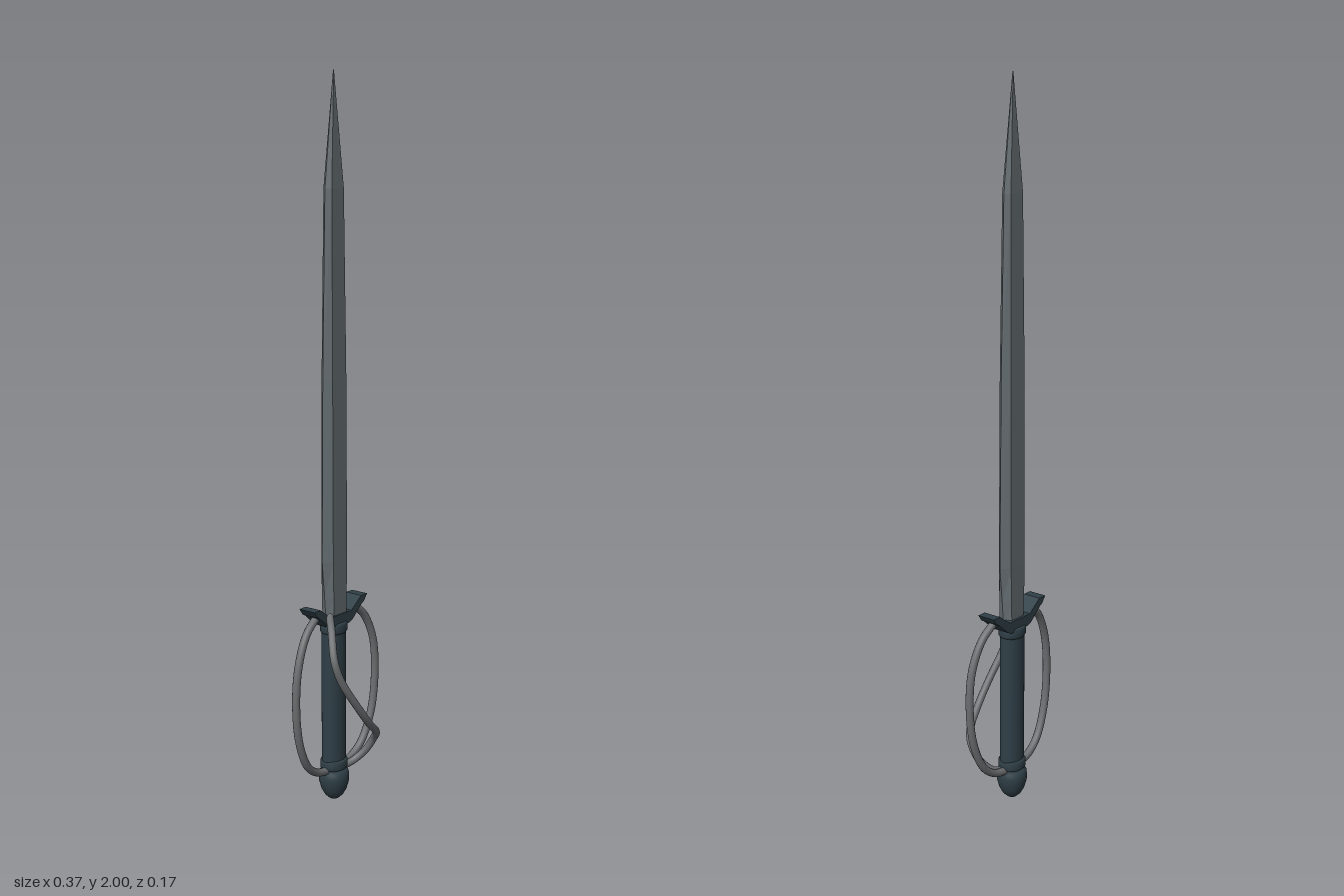
import * as THREE from 'three';

const AXIS_Z = -0.044;

// Flat-faced loft through rings of [x, y, z] points, wound counter-clockwise from above
function loft(rings) {
  const pos = [];
  const n = rings[0].length;
  for (let r = 0; r < rings.length - 1; r++) {
    for (let i = 0; i < n; i++) {
      const j = (i + 1) % n;
      const a = rings[r][i], b = rings[r][j], c = rings[r + 1][j], d = rings[r + 1][i];
      pos.push(...a, ...b, ...c, ...a, ...c, ...d);
    }
  }
  const g = new THREE.BufferGeometry();
  g.setAttribute('position', new THREE.Float32BufferAttribute(pos, 3));
  g.computeVertexNormals();
  return g;
}

export function createModel() {
  const model = new THREE.Group();
  model.name = 'sword';
  const steel = new THREE.MeshStandardMaterial({ color: 0x656d71 });
  steel.name = 'steel';
  const bowSteel = new THREE.MeshStandardMaterial({ color: 0x6b6e70 });
  bowSteel.name = 'bow steel';
  const dark = new THREE.MeshStandardMaterial({ color: 0x2f3f47 });
  dark.name = 'dark iron';

  function add(name, geometry, material, z = 0) {
    const mesh = new THREE.Mesh(geometry, material);
    mesh.name = name;
    mesh.position.z = z;
    model.add(mesh);
    return mesh;
  }

  // Blade: six-sided sections [y, half width, half flat, half thickness]
  const sections = [
    [0.53, 0.036, 0.026, 0.021],
    [0.60, 0.042, 0.028, 0.021],
    [0.70, 0.052, 0.030, 0.021],
    [1.20, 0.047, 0.029, 0.019],
    [1.70, 0.036, 0.025, 0.014],
    [2.00, 0.001, 0.0005, 0.001],
  ];
  add('blade', loft(sections.map(([y, w, c, t]) => [
    [w, y, 0], [c, y, -t], [-c, y, -t], [-w, y, 0], [-c, y, t], [c, y, t],
  ])), steel, AXIS_Z + 0.002);

  // Grip with its oval section
  const grip = new THREE.CylinderGeometry(0.039, 0.039, 0.42, 32);
  grip.scale(1, 1, 0.78);
  grip.translate(0, 0.31, 0);
  add('grip', grip, dark, AXIS_Z);

  // Collars at both ends of the grip
  for (const [name, y, r, depth] of [
    ['upperCollar', 0.508, 0.042, 0.84],
    ['lowerCollar', 0.108, 0.041, 0.9],
  ]) {
    const collar = new THREE.LatheGeometry([
      [0, -0.015], [r - 0.004, -0.015], [r, -0.009], [r, 0.009], [r - 0.004, 0.015], [0, 0.015],
    ].map(([x, v]) => new THREE.Vector2(x, v)), 32);
    collar.scale(1, 1, depth);
    collar.translate(0, y, 0);
    add(name, collar, dark, AXIS_Z);
  }

  // Egg-shaped pommel
  const pommel = [
    [0, 0], [0.014, 0.004], [0.026, 0.015], [0.036, 0.033], [0.042, 0.055],
    [0.043, 0.07], [0.041, 0.084], [0.034, 0.095], [0, 0.097],
  ];
  add('pommel', new THREE.LatheGeometry(pommel.map(([x, y]) => new THREE.Vector2(x, y)), 32), dark, AXIS_Z);

  // Crossguard: upswept profile with flared tips, extruded front to back
  const half = [
    [0.036, 0.515], [0.052, 0.522], [0.09, 0.555], [0.102, 0.562],
    [0.115, 0.580], [0.088, 0.580], [0.068, 0.565], [0.045, 0.548],
  ];
  const outline = [...half, ...half.map(([x, y]) => [-x, y]).reverse()];
  const guard = new THREE.ExtrudeGeometry(
    new THREE.Shape(outline.map(([x, y]) => new THREE.Vector2(x, y))),
    { depth: 0.053, bevelEnabled: false });
  guard.translate(0, 0, -0.0265);
  add('crossguard', guard, dark, AXIS_Z);

  // Curved guard bows
  function bow(name, points, radius) {
    const curve = new THREE.CatmullRomCurve3(points.map(p => new THREE.Vector3(...p)));
    add(name, new THREE.TubeGeometry(curve, 64, radius, 12), bowSteel);
  }
  const side = [
    [0.075, 0.555, -0.042], [0.125, 0.515, -0.038], [0.162, 0.44, -0.034], [0.174, 0.34, -0.034],
    [0.160, 0.22, -0.036], [0.120, 0.135, -0.04], [0.075, 0.102, -0.043], [0.03, 0.092, -0.044],
  ];
  bow('leftBow', side, 0.011);
  bow('rightBow', side.map(([x, y, z]) => [-x, y, z]), 0.011);
  bow('frontBow', [
    [-0.05, 0.555, -0.018], [-0.08, 0.525, 0.013], [-0.112, 0.455, 0.049], [-0.095, 0.395, 0.06],
    [-0.04, 0.31, 0.072], [0.01, 0.25, 0.071], [0.07, 0.2, 0.051], [0.092, 0.17, 0.026],
    [0.086, 0.13, 0.002], [0.06, 0.1, -0.022], [0.03, 0.09, -0.035],
  ], 0.0105);

  return model;
}
